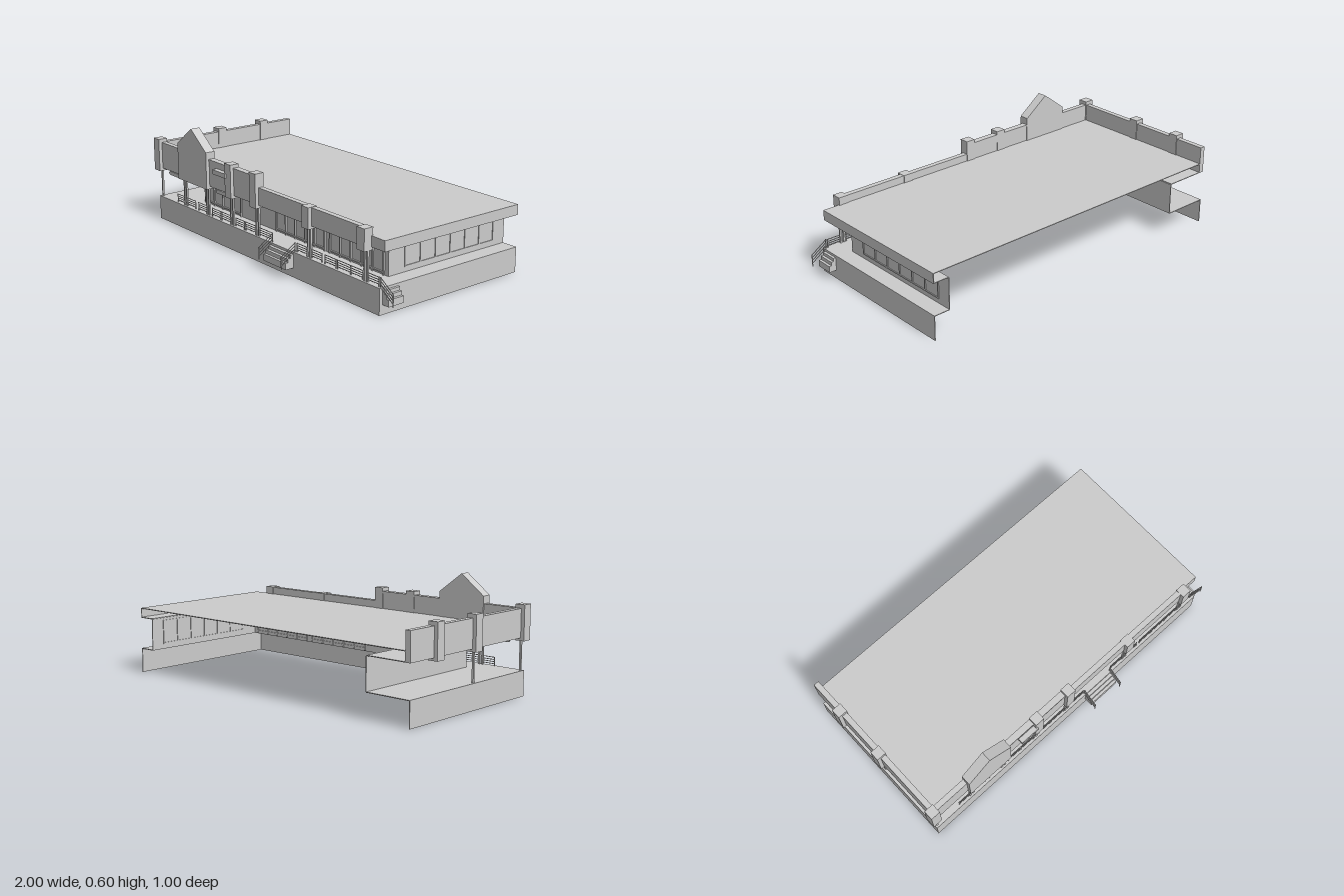
import * as THREE from 'three';

const material = new THREE.MeshStandardMaterial({ color: 0xcccccc, side: THREE.DoubleSide });

export function createModel() {
  const model = new THREE.Group();

  const add = (name, geometry, parent = model) => {
    const mesh = new THREE.Mesh(geometry, material);
    mesh.name = name;
    parent.add(mesh);
    return mesh;
  };
  // Box given by its limits on each axis
  const box = (name, x0, x1, y0, y1, z0, z1, parent) => {
    const mesh = add(name, new THREE.BoxGeometry(x1 - x0, y1 - y0, z1 - z0), parent);
    mesh.position.set((x0 + x1) / 2, (y0 + y1) / 2, (z0 + z1) / 2);
    return mesh;
  };
  // Thin round bar between two points
  const bar = (name, a, b, r, parent) => {
    const p = new THREE.Vector3(...a), q = new THREE.Vector3(...b);
    const mesh = add(name, new THREE.CylinderGeometry(r, r, p.distanceTo(q), 6), parent);
    mesh.position.copy(p).lerp(q, 0.5);
    mesh.quaternion.setFromUnitVectors(new THREE.Vector3(0, 1, 0), q.sub(p).normalize());
    return mesh;
  };
  const group = (name) => {
    const g = new THREE.Group();
    g.name = name;
    model.add(g);
    return g;
  };

  const L = -0.98, R = 0.92, B = -0.5, F = 0.42, T = 0.004;
  const deckY = 0.135, soffitY = 0.305, roofY = 0.36;
  const wallL = -0.72, wallR = 0.83, wallF = 0.285;

  // Open-backed base and the raised walkway around the building
  const base = group('base');
  box('baseFront', L, R, 0, deckY, F - T, F, base);
  box('baseLeftEnd', L, L + T, 0, deckY, B, F, base);
  box('baseRightEnd', R - T, R, 0, deckY, B, F, base);

  // Walkway and soffit share the same U-shaped strip
  const strip = (name, y, front) => {
    const g = group(name);
    box(name + 'Front', L, R, y - T, y, wallF, front, g);
    box(name + 'West', L, wallL, y - T, y, B, wallF, g);
    box(name + 'East', wallR, R, y - T, y, B, wallF, g);
  };
  strip('deck', deckY, F);
  strip('soffit', soffitY + T, 0.39);

  // Building walls
  const walls = group('walls');
  box('frontWall', wallL, wallR, deckY, soffitY, wallF - T, wallF, walls);
  box('westWall', wallL, wallL + T, deckY, soffitY, B, wallF, walls);
  box('eastWall', wallR - T, wallR, deckY, soffitY, B, wallF, walls);

  // Window frames on the front and east walls
  const frames = group('windowFrames');
  const frontWindows = (x0, x1, n) => {
    for (const y of [0.145, 0.255, 0.29])
      box('frameRail', x0, x1, y, y + 0.007, wallF - 0.01, wallF + 0.008, frames);
    for (let i = 0; i <= n; i++) {
      const x = x0 + (x1 - x0) * i / n;
      box('mullion', x - 0.004, x + 0.004, deckY, 0.297, wallF - 0.01, wallF + 0.008, frames);
    }
  };
  frontWindows(-0.7, -0.36, 4);
  frontWindows(-0.04, 0.36, 5);
  frontWindows(0.4, 0.8, 5);
  for (const y of [0.16, 0.285])
    box('frameRail', wallR - 0.008, wallR + 0.004, y, y + 0.007, -0.42, 0.18, frames);
  for (let i = 0; i <= 6; i++) {
    const z = -0.42 + i * 0.1;
    box('mullion', wallR - 0.008, wallR + 0.004, 0.16, 0.292, z - 0.004, z + 0.004, frames);
  }

  // Flat roof with open back
  const roof = group('roof');
  box('roofSheet', L, R, roofY - T, roofY, B, 0.39, roof);
  box('eastFascia', R - T, R, soffitY, roofY, B, 0.39, roof);
  box('frontFascia', L, R, soffitY, roofY, 0.39 - T, 0.39, roof);

  // Parapets: tall on the west half, low on the east half
  const parapet = group('parapet');
  box('tallParapet', L, -0.04, soffitY, 0.455, 0.385, 0.415, parapet);
  box('lowParapet', -0.04, 0.8, soffitY, 0.4, 0.385, 0.415, parapet);
  box('westParapet', L, -0.95, soffitY, 0.455, B, 0.4, parapet);
  box('coping', -0.47, -0.04, 0.445, 0.456, 0.382, 0.418, parapet);

  // Parapet piers
  const pier = (x, z, top) =>
    box('pier', x - 0.027, x + 0.027, 0.29, top, z - 0.027, z + 0.027, parapet);
  for (const [x, top] of [[-0.973, 0.475], [-0.27, 0.475], [-0.05, 0.475], [0.385, 0.402], [0.8, 0.402]])
    pier(x, 0.408, top);
  for (const z of [0, -0.3]) pier(-0.973, z, 0.475);

  // Gabled panel
  const gable = new THREE.Shape([[-0.75, 0.29], [-0.47, 0.29], [-0.47, 0.495], [-0.61, 0.6], [-0.75, 0.495]]
    .map(([x, y]) => new THREE.Vector2(x, y)));
  add('gable', new THREE.ExtrudeGeometry(gable, { depth: 0.055, bevelEnabled: false })).position.z = 0.38;

  // Wall sign and hanging signs
  box('wallSign', -0.4, -0.285, 0.395, 0.42, 0.415, 0.443);
  const plate = new THREE.Shape();
  plate.moveTo(-0.048, -0.01).lineTo(0.048, -0.01);
  plate.absarc(0.048, 0, 0.01, -Math.PI / 2, Math.PI / 2);
  plate.lineTo(-0.048, 0.01);
  plate.absarc(-0.048, 0, 0.01, Math.PI / 2, Math.PI * 1.5);
  const plateGeometry = new THREE.ExtrudeGeometry(plate, { depth: 0.008, bevelEnabled: false });
  for (const x of [-0.85, -0.615, -0.38]) {
    const sign = group('hangingSign');
    add('signPlate', plateGeometry, sign).position.set(x, 0.283, 0.39);
    for (const s of [-0.04, 0.04])
      bar('hanger', [x + s, 0.29, 0.394], [x + s, 0.31, 0.394], 0.002, sign);
  }

  // Slim porch posts, mostly in pairs
  const posts = group('porchPosts');
  const post = (x, z) => box('post', x - 0.005, x + 0.005, 0.13, 0.306, z - 0.005, z + 0.005, posts);
  for (const x of [-0.725, -0.503, -0.275, -0.045, 0.385, 0.808])
    for (const s of [-0.01, 0.01]) post(x + s, 0.405);
  post(-0.967, 0.405);
  post(-0.967, 0);

  // Railing panels along the front
  const railing = group('railing');
  const panels = [[-0.81, -0.73], [-0.71, -0.63], [-0.6, -0.52], [-0.465, -0.385], [-0.375, -0.29],
    [-0.245, -0.165], [-0.155, -0.065], [-0.04, 0.08], [0.285, 0.365], [0.4, 0.48],
    [0.505, 0.59], [0.6, 0.695], [0.7, 0.785], [0.815, 0.9]];
  for (const [x0, x1] of panels) {
    for (const y of [0.147, 0.158, 0.169, 0.181])
      bar('rail', [x0, y, 0.405], [x1, y, 0.405], 0.002, railing);
    for (const x of [x0, x1])
      bar('railPost', [x, deckY, 0.405], [x, 0.183, 0.405], 0.003, railing);
  }

  // Steps drawn outward along local z from the base face
  const stairs = (name, width, depths, railXs) => {
    const g = group(name);
    const tops = [0.085, 0.105, 0.122];
    depths.forEach((d, i) =>
      box('step', -width / 2, width / 2, i ? tops[i - 1] : 0.05, tops[i], -0.002, d, g));
    for (const x of railXs) {
      for (let i = 0; i < 4; i++) {
        const y = 0.183 - i * 0.016;
        bar('stairRail', [x, y, -0.01], [x, y - 0.058, 0.078], 0.002, g);
      }
      bar('stairRailPost', [x, deckY, -0.01], [x, 0.185, -0.01], 0.003, g);
      bar('stairRailPost', [x, 0.06, 0.077], [x, 0.126, 0.077], 0.003, g);
    }
    return g;
  };
  stairs('frontSteps', 0.185, [0.05, 0.035, 0.018], [-0.094, 0.094]).position.set(0.18, 0, F);
  const side = stairs('sideSteps', 0.095, [0.042, 0.028, 0.014], [-0.052]);
  side.rotation.y = Math.PI / 2;
  side.position.set(R, 0, 0.353);

  return model;
}
